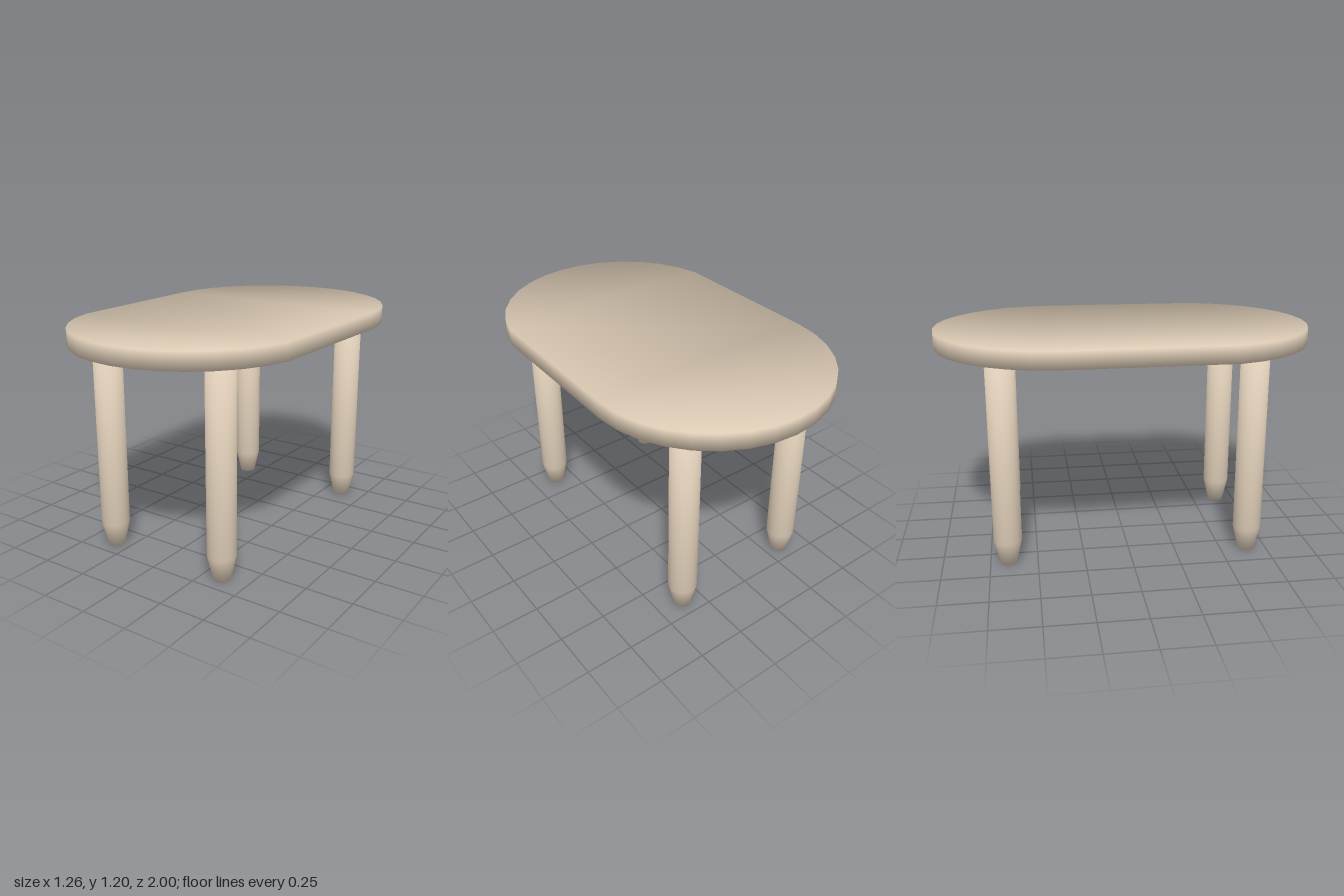
import * as THREE from 'three';

const wood = new THREE.MeshStandardMaterial({ color: 0xdccbb5 });

// Slab with two rounded ends, lofted from back to front through four-cornered
// cross-sections; its normals lean outward so the rim shades softly
function makeTop() {
  const radius = 0.63, offset = 0.37, steps = 8, low = 1.11, high = 1.2, lean = 0.57;
  const positions = [], normals = [], index = [];

  const addRow = (angle, end) => {
    const x = radius * Math.cos(angle), z = end * radius * Math.sin(angle);
    for (const [side, up] of [[1, 1], [-1, 1], [-1, -1], [1, -1]]) {
      positions.push(side * x, up > 0 ? high : low, z + end * offset);
      const n = new THREE.Vector3(side * x, up * lean, z).normalize();
      normals.push(n.x, n.y, n.z);
    }
  };
  const step = Math.PI / 2 / steps;
  for (let i = steps; i >= 0; i--) addRow(i * step, -1);
  // The front end starts one step in, so the sides draw in slightly
  for (let i = 1; i <= steps; i++) addRow(i * step, 1);

  for (let row = 0; row < 2 * steps; row++) {
    for (let corner = 0; corner < 4; corner++) {
      const a = row * 4 + corner, b = row * 4 + (corner + 1) % 4;
      index.push(a, b, a + 4, b, b + 4, a + 4);
    }
  }
  const slab = new THREE.BufferGeometry();
  slab.setAttribute('position', new THREE.Float32BufferAttribute(positions, 3));
  slab.setAttribute('normal', new THREE.Float32BufferAttribute(normals, 3));
  slab.setIndex(index);
  const top = new THREE.Mesh(slab, wood);
  top.name = 'tableTop';
  return top;
}

// Round leg with a tapered foot, shaded smoothly across its edges
function makeLegGeometry() {
  // Radius, height, then outward and upward part of the normal
  const profile = [
    [0, 0, 0, -1],
    [0.045, 0, 0.63, -0.78],
    [0.075, 0.13, 0.99, -0.11],
    [0.075, 1.11, 0.71, 0.71],
    [0, 1.11, 0, 1],
  ];
  const segments = 32;
  const leg = new THREE.LatheGeometry(profile.map(([r, y]) => new THREE.Vector2(r, y)), segments);
  const normal = leg.attributes.normal;
  for (let i = 0; i < normal.count; i++) {
    const [, , out, up] = profile[i % profile.length];
    const angle = Math.floor(i / profile.length) / segments * Math.PI * 2;
    normal.setXYZ(i, out * Math.sin(angle), up, out * Math.cos(angle));
  }
  return leg;
}

export function createModel() {
  const table = new THREE.Group();
  table.name = 'table';
  table.add(makeTop());

  const legGeometry = makeLegGeometry();
  for (const [side, x] of [['Left', 0.355], ['Right', -0.34]]) {
    for (const [end, z] of [['front', 0.645], ['back', -0.655]]) {
      const leg = new THREE.Mesh(legGeometry, wood);
      leg.name = `${end}${side}Leg`;
      leg.position.set(x, 0, z);
      table.add(leg);
    }
  }
  return table;
}
